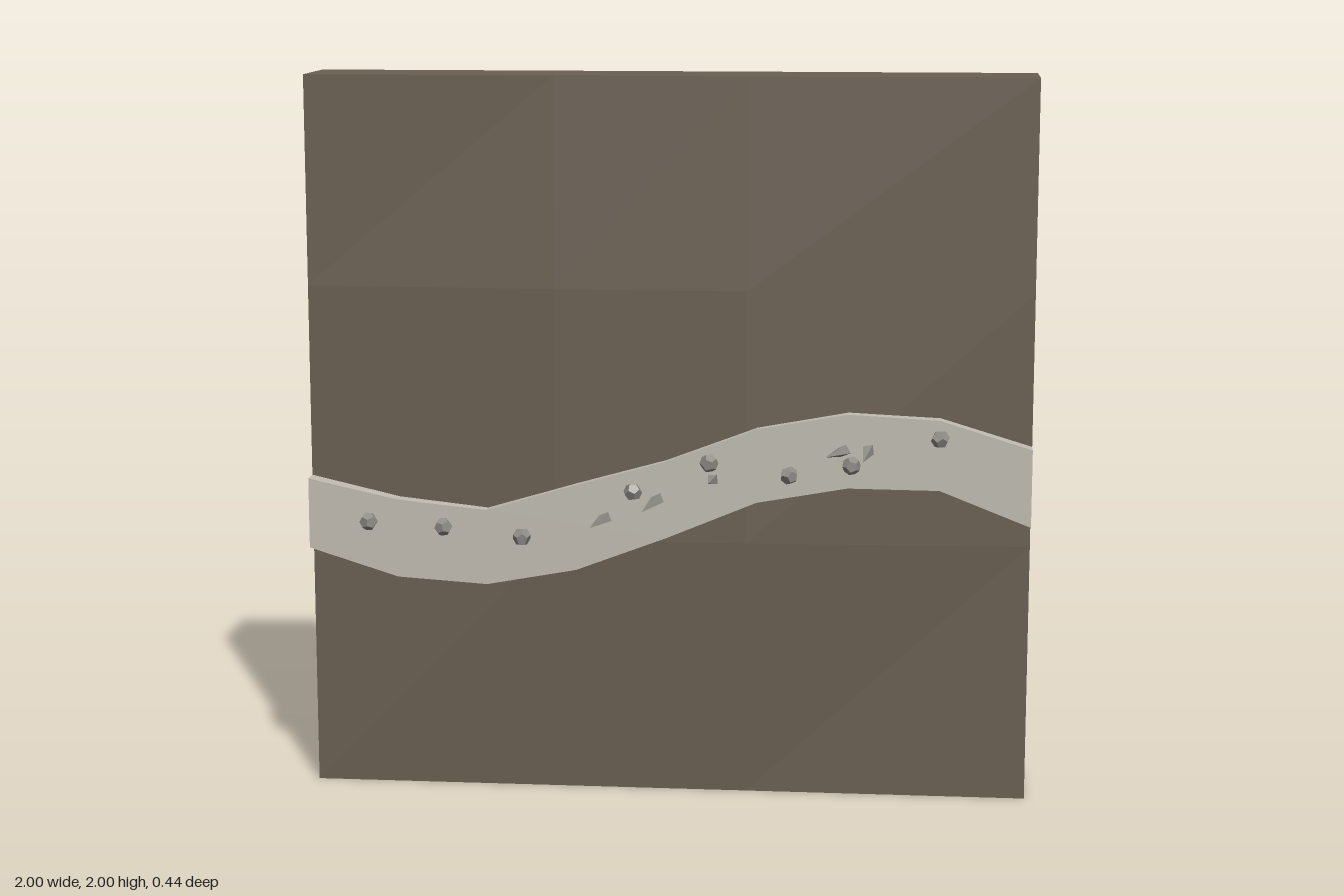
import * as THREE from 'three';

const stone = new THREE.MeshStandardMaterial({ color: 0x6a5f52, flatShading: true, side: THREE.DoubleSide });
stone.name = 'brown stone';
const vein = new THREE.MeshStandardMaterial({ color: 0xc0bcb2, flatShading: true });
vein.name = 'pale vein';
const mineral = new THREE.MeshStandardMaterial({ color: 0x8e8c86, flatShading: true });
mineral.name = 'grey mineral';

const FRONT = 0.067, BACK = -0.183;

function mesh(geometry, material, name) {
  const m = new THREE.Mesh(geometry, material);
  m.name = name;
  return m;
}

// Wall face: a 3 x 3 grid whose four inner points bulge outwards
function bulgedFace(columns, rows, bulge) {
  const g = new THREE.PlaneGeometry(2, 2, 3, 3);
  const p = g.attributes.position;
  for (let i = 0; i < p.count; i++) {
    const c = i % 4, r = Math.floor(i / 4);
    const inner = c > 0 && c < 3 && r > 0 && r < 3;
    p.setXYZ(i, columns[c], rows[r], inner ? bulge[r - 1][c - 1] : 0);
  }
  g.computeVertexNormals();
  return g;
}

function createWall() {
  const wall = new THREE.Group();
  wall.name = 'rockWall';
  const rows = [2, 1.42, 0.72, 0];
  const front = mesh(bulgedFace([-1, -0.31, 0.22, 1], rows, [[0.023, 0.022], [0.026, 0.03]]), stone, 'wallFront');
  front.position.z = FRONT;
  const back = mesh(bulgedFace([-1, -0.2, 0.31, 1], rows, [[0.045, 0.02], [0.043, 0.018]]), stone, 'wallBack');
  back.rotation.y = Math.PI;
  back.position.z = BACK;
  wall.add(front, back);

  // Top and two sides; the underside is open
  const depth = FRONT - BACK, mid = (FRONT + BACK) / 2;
  const top = mesh(new THREE.PlaneGeometry(2, depth), stone, 'wallTop');
  top.rotation.x = -Math.PI / 2;
  top.position.set(0, 2, mid);
  wall.add(top);
  for (const s of [-1, 1]) {
    const side = mesh(new THREE.PlaneGeometry(depth, 2), stone, s > 0 ? 'wallLeftSide' : 'wallRightSide');
    side.rotation.y = s * Math.PI / 2;
    side.position.set(s, 1, mid);
    wall.add(side);
  }
  return wall;
}

// Wavy band across the front
function createVein() {
  const upper = [0.885, 0.83, 0.805, 0.88, 0.95, 1.045, 1.09, 1.077, 1.0];
  const lower = [0.688, 0.61, 0.594, 0.64, 0.735, 0.84, 0.885, 0.883, 0.785];
  const at = (y, i) => new THREE.Vector2(-1 + i * 0.25, y);
  const outline = [...lower.map(at), ...upper.map(at).reverse()];
  const g = new THREE.ExtrudeGeometry(new THREE.Shape(outline), { depth: 0.053, bevelEnabled: false });
  g.translate(0, 0, FRONT);
  return mesh(g, vein, 'veinBand');
}

// Faceted pebbles set into the band
function createPebbles() {
  const group = new THREE.Group();
  group.name = 'pebbles';
  const g = new THREE.DodecahedronGeometry(0.026);
  const spots = [[-0.83, 0.768], [-0.62, 0.757], [-0.4, 0.733], [-0.09, 0.866],
    [0.12, 0.95], [0.34, 0.92], [0.51, 0.95], [0.75, 1.028]];
  spots.forEach(([x, y], i) => {
    const pebble = mesh(g, mineral, 'pebble');
    pebble.position.set(x, y, 0.128);
    pebble.rotation.set(i * 0.9, i * 1.7, i * 0.6);
    group.add(pebble);
  });
  return group;
}

// Thin crystals leaning out of the band: base x, y then tip x, y
function createCrystals() {
  const group = new THREE.Group();
  group.name = 'crystals';
  const spikes = [[-0.165, 0.79, -0.2, 0.78], [-0.02, 0.846, -0.057, 0.827], [0.13, 0.903, 0.125, 0.91],
    [0.492, 0.99, 0.442, 0.988], [0.557, 0.994, 0.543, 0.976]];
  for (const [bx, by, tx, ty] of spikes) {
    const base = new THREE.Vector3(bx, by, 0.11), tip = new THREE.Vector3(tx, ty, 0.212);
    const axis = tip.clone().sub(base);
    const length = axis.length();
    const crystal = mesh(new THREE.ConeGeometry(0.02, length, 4), mineral, 'crystal');
    crystal.position.copy(base).add(tip).multiplyScalar(0.5);
    crystal.quaternion.setFromUnitVectors(new THREE.Vector3(0, 1, 0), axis.normalize());
    crystal.rotateY(Math.PI / 4);
    group.add(crystal);
  }
  return group;
}

export function createModel() {
  const model = new THREE.Group();
  model.name = 'rockWallWithVein';
  model.add(createWall(), createVein(), createPebbles(), createCrystals());
  return model;
}
